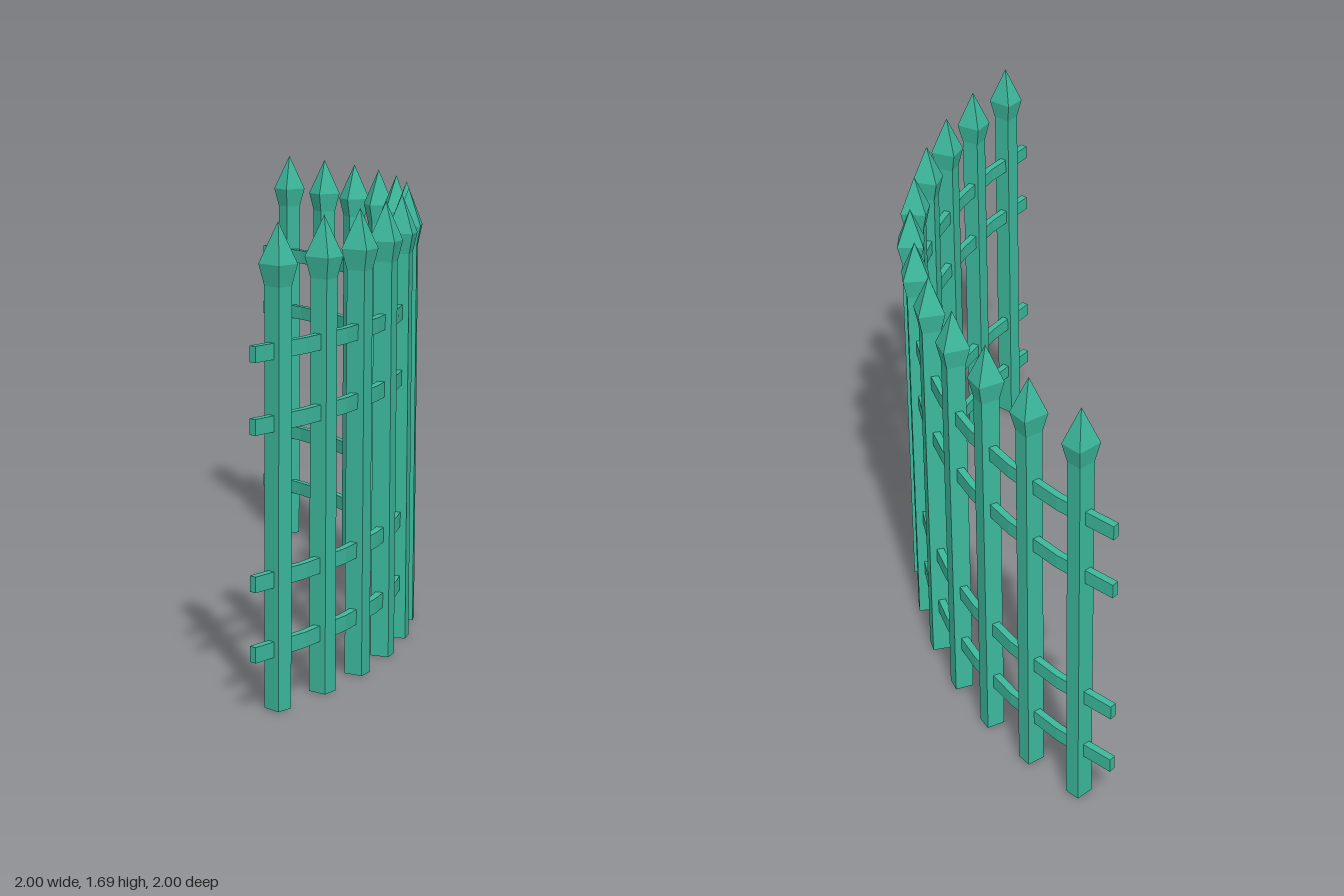
import * as THREE from 'three';

const DEG = Math.PI / 180;
const RADIUS = 1.953;
const POSTS = 12;

// Four-sided post with a flared spear tip, local x pointing outwards
function postGeometry() {
  const profile = [[0, 0], [0.035, 0], [0.035, 1.47], [0.05, 1.545], [0, 1.687]]
    .map(([half, y]) => new THREE.Vector2(half * Math.SQRT2, y));
  const geo = new THREE.LatheGeometry(profile, 4, Math.PI / 4).scale(1, 1, 0.87).toNonIndexed();
  geo.computeVertexNormals();
  return geo;
}

// Quarter-ring rail made of straight segments
function railGeometry(height, thickness) {
  const arc = (r) => Array.from({ length: POSTS + 1 }, (_, i) => {
    const a = (i * 90 / POSTS) * DEG;
    return new THREE.Vector2(r * Math.sin(a), r * Math.cos(a));
  });
  const outline = [...arc(RADIUS + thickness / 2), ...arc(RADIUS - thickness / 2).reverse()];
  return new THREE.ExtrudeGeometry(new THREE.Shape(outline), { depth: height, bevelEnabled: false })
    .rotateX(-Math.PI / 2)
    .translate(0, -height / 2, 0);
}

export function createModel() {
  const fence = new THREE.Group();
  fence.name = 'curvedFence';
  const paint = new THREE.MeshStandardMaterial({ color: 0x3cb89c, flatShading: true });

  // The arc is centred on the back-right corner's opposite, at (-1, 1)
  const arcGroup = new THREE.Group();
  arcGroup.name = 'fenceArc';
  arcGroup.position.set(-1, 0, 1);
  fence.add(arcGroup);

  // Posts
  const postGeo = postGeometry();
  for (let i = 0; i < POSTS; i++) {
    const a = (4.55 + 7.44 * i) * DEG;
    const post = new THREE.Mesh(postGeo, paint);
    post.name = `post${i + 1}`;
    post.position.set(RADIUS * Math.sin(a), 0, -RADIUS * Math.cos(a));
    post.rotation.y = Math.PI / 2 - 7.5 * (i + 1) * DEG;
    arcGroup.add(post);
  }

  // Rails, two low and two high
  const railGeo = railGeometry(0.056, 0.028);
  [0.217, 0.464, 1.006, 1.253].forEach((y, i) => {
    const rail = new THREE.Mesh(railGeo, paint);
    rail.name = `rail${i + 1}`;
    rail.position.y = y;
    arcGroup.add(rail);
  });

  return fence;
}
